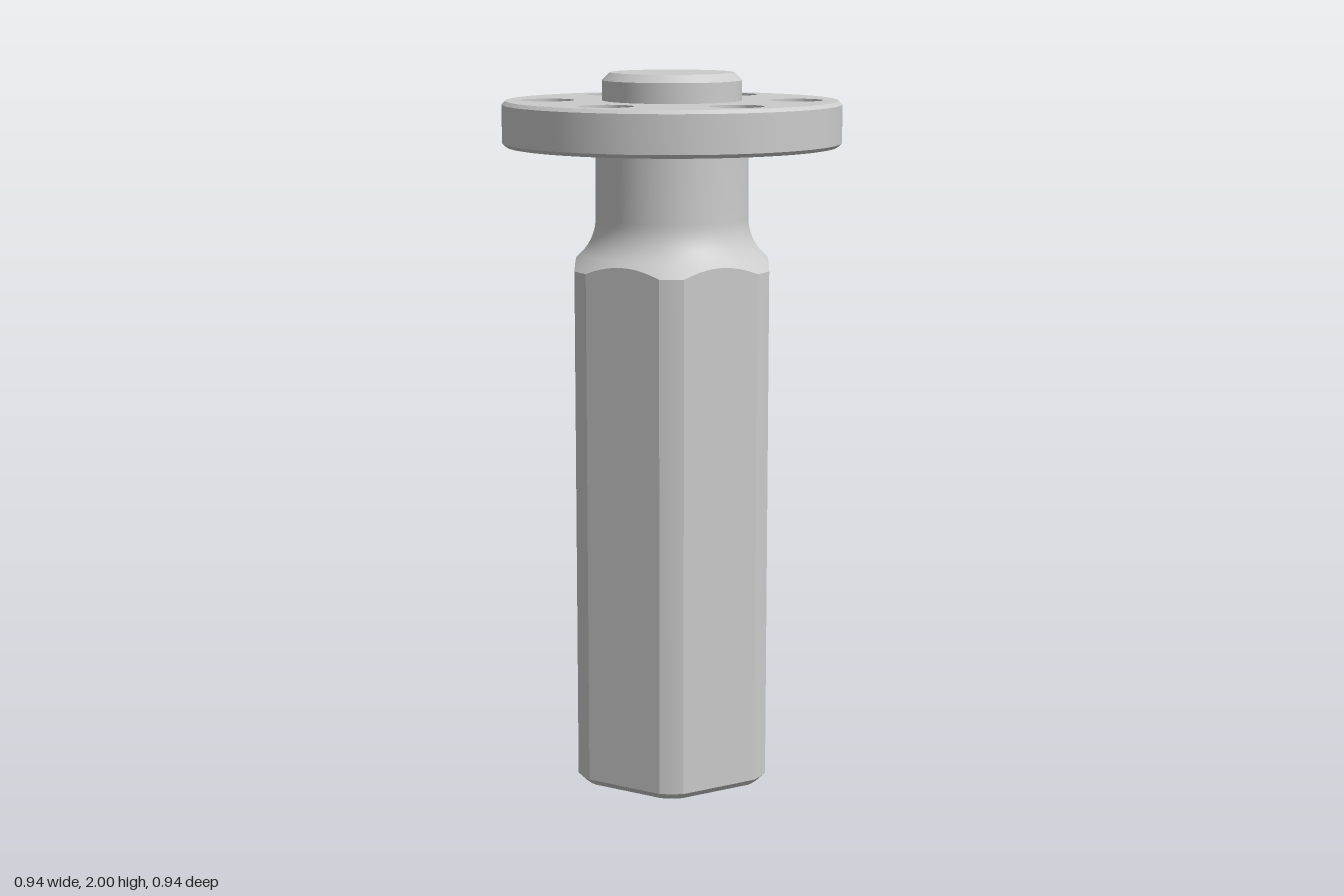
import * as THREE from 'three';
import { toCreasedNormals } from 'three/addons/utils/BufferGeometryUtils.js';

const material = new THREE.MeshStandardMaterial({ color: 0xcccccc });
const FLAT = 0.267, CORNER = 0.291;          // hex half-width, turned corner radius
const NECK = 0.212, FILLET = 0.14, EDGE_Y = 1.465;
const BORE = 0.08;
const FLANGE = { r: 0.468, y0: 1.80, y1: 1.924, chamfer: 0.01 };
const HOLE = { r: 0.073, at: 0.342, count: 6 };

function add(group, name, geometry) {
  const mesh = new THREE.Mesh(toCreasedNormals(geometry, 0.3), material);
  mesh.name = name;
  group.add(mesh);
  return mesh;
}

const lathe = (points, segments = 96) =>
  new THREE.LatheGeometry(points.map(([r, y]) => new THREE.Vector2(r, y)), segments);

// Angles round the hexagon: each flat, then the turned corner after it
function hexAngles() {
  const half = Math.acos(FLAT / CORNER), list = [];
  for (let k = 0; k < 6; k++) {
    const mid = k * Math.PI / 3;
    for (let i = 0; i < 10; i++) list.push(mid - half + 2 * half * i / 10);
    for (let i = 0; i < 4; i++) list.push(mid + half + (Math.PI / 3 - 2 * half) * i / 4);
  }
  return list;
}

// Radius of a hexagon whose corners are turned down, inset by a given amount
function hexRadius(angle, inset = 0) {
  const local = angle - Math.round(angle / (Math.PI / 3)) * Math.PI / 3;
  return Math.min(CORNER - inset, (FLAT - inset) / Math.cos(local));
}

// Joins rings, each a function of angle giving [radius, height]
function loft(rings, angles) {
  const n = angles.length, positions = [], index = [];
  rings.forEach((ring) => angles.forEach((a) => {
    const [r, y] = ring(a);
    positions.push(r * Math.sin(a), y, r * Math.cos(a));
  }));
  for (let j = 0; j < rings.length - 1; j++) {
    for (let i = 0; i < n; i++) {
      const a = j * n + i, b = j * n + (i + 1) % n;
      index.push(a, b, a + n, b, b + n, a + n);
    }
  }
  const geometry = new THREE.BufferGeometry();
  geometry.setAttribute('position', new THREE.Float32BufferAttribute(positions, 3));
  geometry.setIndex(index);
  geometry.computeVertexNormals();
  return geometry;
}

export function createModel() {
  const model = new THREE.Group();
  model.name = 'hexShaftWithFlange';

  // Hex shaft, scalloped shoulder, fillet and round neck
  const arcEnd = NECK + FILLET * (1 - Math.SQRT1_2);
  const arcY = EDGE_Y + CORNER - arcEnd + FILLET * Math.SQRT1_2;
  const rings = [
    () => [BORE, 0],
    (a) => [hexRadius(a, 0.02), 0],
    (a) => [hexRadius(a), 0.02],
    (a) => [hexRadius(a), EDGE_Y + CORNER - hexRadius(a)],
  ];
  for (let i = 0; i <= 8; i++) {
    const t = (Math.PI / 4) * (1 - i / 8);
    rings.push(() => [NECK + FILLET * (1 - Math.cos(t)), arcY - FILLET * Math.sin(t)]);
  }
  rings.push(() => [NECK, FLANGE.y0]);
  add(model, 'shaft', loft(rings, hexAngles()));

  // Blind bore in the lower end
  add(model, 'bore', lathe([[0, 0.5], [BORE, 0.46], [BORE, 0]], 48));

  // Flange: chamfered rim, two pierced faces and the hole walls
  const flange = new THREE.Group();
  flange.name = 'flange';
  model.add(flange);
  const { r, y0, y1, chamfer: c } = FLANGE;
  add(flange, 'flangeRim', lathe([[r - c, y0], [r, y0 + c], [r, y1 - c], [r - c, y1]]));

  const disc = new THREE.Shape().absarc(0, 0, r - c, 0, Math.PI * 2);
  for (let k = 0; k < HOLE.count; k++) {
    const a = Math.PI / 2 + k * Math.PI * 2 / HOLE.count;
    const x = HOLE.at * Math.cos(a), z = HOLE.at * Math.sin(a);
    disc.holes.push(new THREE.Path().absarc(x, z, HOLE.r, 0, Math.PI * 2, true));
    add(flange, 'boltHole', lathe([[HOLE.r, y1], [HOLE.r, y0]], 48)).position.set(x, 0, z);
  }
  const face = new THREE.ShapeGeometry(disc, 48);
  add(flange, 'flangeTop', face.clone().rotateX(-Math.PI / 2).translate(0, y1, 0));
  add(flange, 'flangeUnderside', face.clone().rotateX(Math.PI / 2).translate(0, y0, 0));

  // Chamfered centring boss on top
  add(model, 'boss', lathe([[0.192, y1], [0.192, 1.979], [0.171, 2], [0, 2]]));

  return model;
}
